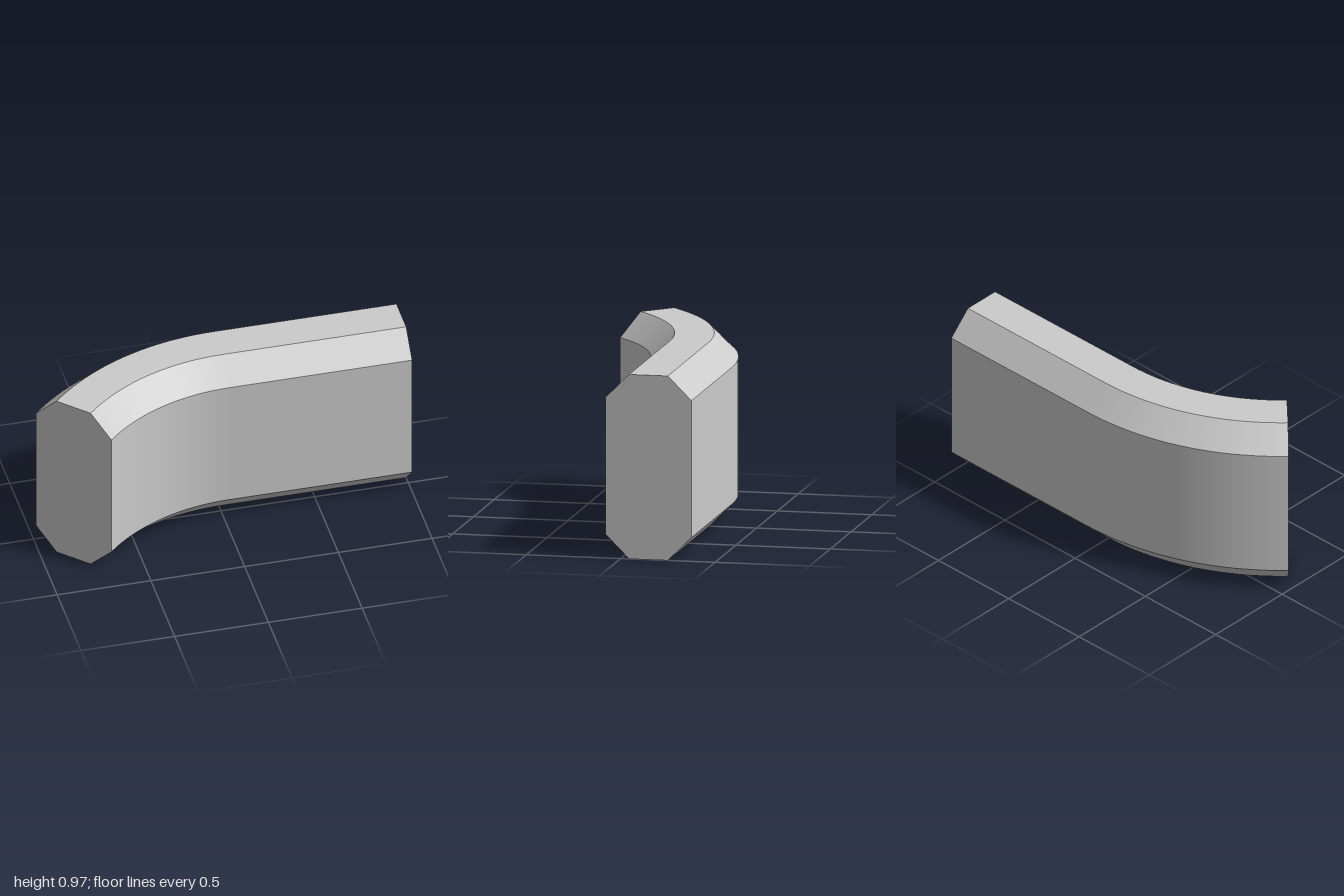
import * as THREE from 'three';

const H = 0.97, CH = 0.125;           // section height and chamfer
const R_OUT = 1.451, R_IN = 0.996;    // bend radii
const CX = 0.026, CZ = 1.076;         // bend centre
const BEND = Math.PI / 4, STEPS = 24;

// Chamfered section as [radius, height], counter-clockwise
const SECTION = [
  [R_IN + CH, 0], [R_OUT - CH, 0], [R_OUT, CH], [R_OUT, H - CH],
  [R_OUT - CH, H], [R_IN + CH, H], [R_IN, H - CH], [R_IN, CH],
];

// Stations along the path: the straight end, then the bend
const STATIONS = [{ x: 1, a: 0 }];
for (let i = 0; i <= STEPS; i++) STATIONS.push({ x: CX, a: (BEND * i) / STEPS });

const place = ({ x, a }, [r, y]) => [x - r * Math.sin(a), y, CZ - r * Math.cos(a)];

function sweepGeometry() {
  const pos = [], nor = [], idx = [];
  const n = SECTION.length;

  // One strip per side: smooth along the path, sharp between sides
  for (let k = 0; k < n; k++) {
    const p = SECTION[k], q = SECTION[(k + 1) % n];
    const len = Math.hypot(q[0] - p[0], q[1] - p[1]);
    const nr = (q[1] - p[1]) / len, ny = (p[0] - q[0]) / len;
    const base = pos.length / 3;
    STATIONS.forEach((s, i) => {
      for (const c of [p, q]) {
        pos.push(...place(s, c));
        nor.push(-nr * Math.sin(s.a), ny, -nr * Math.cos(s.a));
      }
      if (i === 0) return;
      const a = base + 2 * (i - 1), b = a + 2;
      idx.push(a, b, a + 1, b, b + 1, a + 1);
    });
  }

  // Flat end caps
  for (const [s, sign] of [[STATIONS[0], 1], [STATIONS[STEPS + 1], -1]]) {
    const base = pos.length / 3;
    for (const c of SECTION) {
      pos.push(...place(s, c));
      nor.push(sign * Math.cos(s.a), 0, -sign * Math.sin(s.a));
    }
    for (let k = 1; k < n - 1; k++) {
      if (sign > 0) idx.push(base, base + k, base + k + 1);
      else idx.push(base, base + k + 1, base + k);
    }
  }

  const g = new THREE.BufferGeometry();
  g.setAttribute('position', new THREE.Float32BufferAttribute(pos, 3));
  g.setAttribute('normal', new THREE.Float32BufferAttribute(nor, 3));
  g.setIndex(idx);
  return g;
}

export function createModel() {
  const group = new THREE.Group();
  group.name = 'bentCorridor';
  const body = new THREE.Mesh(sweepGeometry(), new THREE.MeshStandardMaterial({ color: 0xcccccc }));
  body.name = 'corridorBody';
  group.add(body);
  return group;
}
